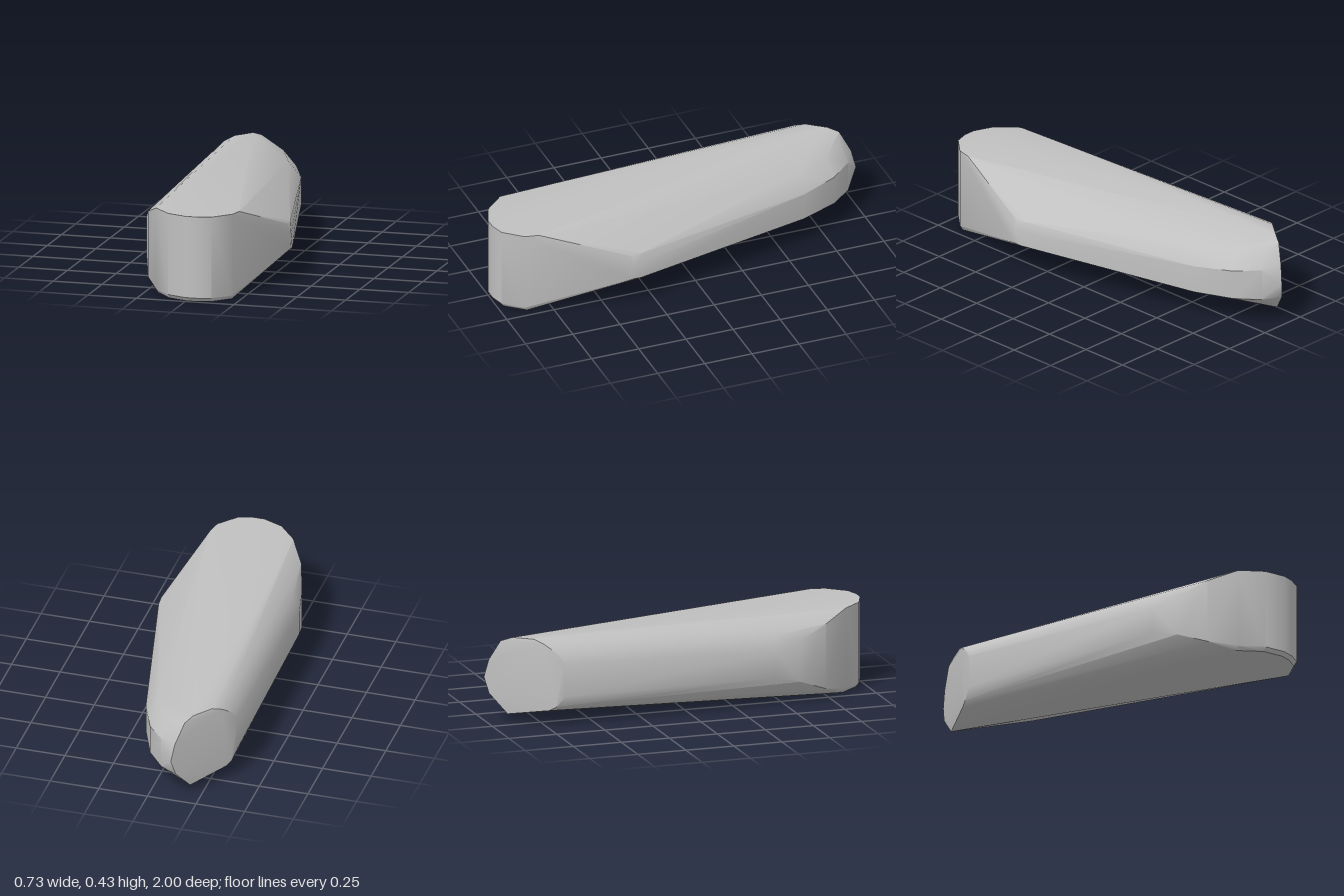
import * as THREE from 'three';
import { ConvexGeometry } from 'three/addons/geometries/ConvexGeometry.js';
import { toCreasedNormals } from 'three/addons/utils/BufferGeometryUtils.js';

export function createModel() {
  const group = new THREE.Group();
  const grey = new THREE.MeshStandardMaterial({ color: 0xc0c0c0 });
  grey.name = 'stone grey';
  const points = [];
  const add = (x, y, z) => points.push(new THREE.Vector3(x, y, z));

  // rounded front wall, full height with a tiny lower bevel: x, z
  [[-0.19, 0.86], [-0.1, 0.96], [0, 1], [0.06, 1], [0.13, 0.98], [0.21, 0.89]].forEach(([x, z]) => {
    add(x, 0.43, z);
    add(x, 0.02, z);
    add(x * 0.97, 0, z - 0.015);
  });
  add(0.225, 0.43, 0.82);

  // left flank, tapering in height away from the front: x, z, low y, high y
  [[-0.27, 0.73, 0.05, 0.38], [-0.32, 0.58, 0.11, 0.32], [-0.345, 0.45, 0.15, 0.28]].forEach(([x, z, low, high]) => {
    add(x, low, z);
    add(x, high, z);
  });
  add(-0.31, 0.355, 0.45);

  // side corner
  add(0.36, 0.155, 0.38);
  add(0.36, 0.225, 0.37);
  add(0.345, 0.28, 0.38);
  add(0.355, 0.15, 0.33);
  add(0.34, 0.28, 0.32);

  // rounded flank towards the back: x, z, low y, high y
  [[0.12, -0.63, 0.14, 0.28], [0.04, -0.82, 0.14, 0.29], [-0.05, -0.93, 0.14, 0.3]].forEach(([x, z, low, high]) => {
    add(x, low, z);
    add(x, high, z);
    add(x - 0.06, high + 0.08, z + 0.02);
  });

  // oblique end face
  [
    [-0.12, 0.22, -1], [-0.135, 0.31, -0.98], [-0.17, 0.41, -0.93], [-0.2, 0.43, -0.88],
    [-0.27, 0.43, -0.79], [-0.31, 0.41, -0.75], [-0.35, 0.355, -0.68], [-0.365, 0.32, -0.66],
    [-0.365, 0.15, -0.66], [-0.345, 0.095, -0.7], [-0.325, 0.075, -0.73],
    [-0.19, 0.04, -0.9], [-0.14, 0.14, -0.98],
  ].forEach((p) => add(...p));

  const geometry = toCreasedNormals(new ConvexGeometry(points), 0.6);
  const body = new THREE.Mesh(geometry, grey);
  body.name = 'body';
  group.add(body);
  return group;
}
